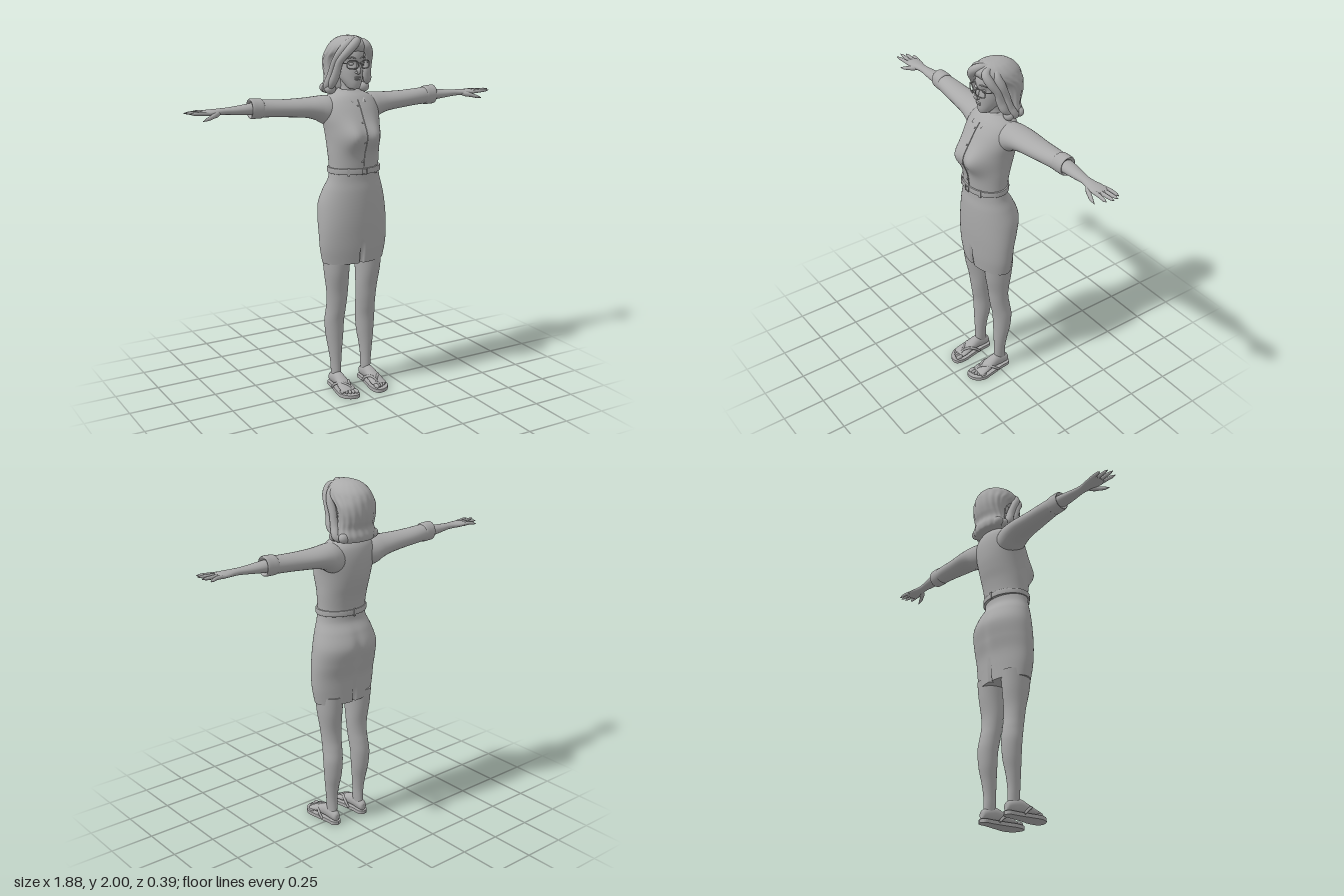
import * as THREE from 'three';

const V = (x, y, z) => new THREE.Vector3(x, y, z);
const TAU = Math.PI * 2;
const bump = (d, w) => Math.exp(-(d * d) / (w * w));

// Smooth interpolation through rows of numbers, u in 0..1
function sample(rows, u) {
  const f = u * (rows.length - 1), i = Math.min(Math.floor(f), rows.length - 2), t = f - i;
  const at = k => rows[Math.max(0, Math.min(rows.length - 1, k))];
  const [a, b, c, d] = [at(i - 1), at(i), at(i + 1), at(i + 2)];
  return b.map((_, k) => {
    const m0 = (c[k] - a[k]) / 2, m1 = (d[k] - b[k]) / 2, q = c[k] - b[k];
    return b[k] + t * (m0 + t * (3 * q - 2 * m0 - m1 + t * (m0 + m1 - 2 * q)));
  });
}

// Closed skin over rings; point(u, angle) gives each corner, both ends capped
function loft(n, segs, point) {
  const pos = [], idx = [];
  const ring = u => { for (let j = 0; j < segs; j++) pos.push(...point(u, j / segs * TAU).toArray()); };
  for (let i = 0; i <= n; i++) ring(i / n);
  for (let i = 0; i < n; i++) for (let j = 0; j < segs; j++) {
    const a = i * segs + j, b = i * segs + (j + 1) % segs;
    idx.push(a, b, a + segs, b, b + segs, a + segs);
  }
  for (const end of [0, 1]) {
    const s = pos.length / 3, c = V(0, 0, 0);
    ring(end);
    for (let j = 0; j < segs; j++) c.add(V().fromArray(pos, (s + j) * 3));
    pos.push(...c.divideScalar(segs).toArray());
    for (let j = 0; j < segs; j++) {
      const a = s + j, b = s + (j + 1) % segs;
      idx.push(...(end ? [a, b, s + segs] : [b, a, s + segs]));
    }
  }
  const g = new THREE.BufferGeometry();
  g.setAttribute('position', new THREE.Float32BufferAttribute(pos, 3));
  g.setIndex(idx);
  g.computeVertexNormals();
  return g;
}

// Upright body: rows of [y, xCentre, xRadius, zFront, zBack]
const body = (rows, warp, segs = 64, n = 60) => loft(n, segs, (u, a) => {
  const [y, xc, rx, zf, zb] = sample(rows, u);
  const p = V(xc + rx * Math.sin(a), y, (zf + zb) / 2 + (zf - zb) / 2 * Math.cos(a));
  if (warp) warp(p, a);
  return p;
});
// Limb along x: rows of [x, yCentre, zCentre, yRadius, zRadius]
const limb = rows => loft(36, 28, (u, a) => {
  const [x, y, z, ry, rz] = sample(rows, u);
  return V(x, y + ry * Math.cos(a), z + rz * Math.sin(a));
});
// Tapering rod along a curve; radii are spread evenly over its length
function rod(points, radii, n = 20, segs = 12) {
  const curve = new THREE.CatmullRomCurve3(points.map(p => V(...p)));
  const fr = curve.computeFrenetFrames(n), rr = radii.map(r => [r]);
  return loft(n, segs, (u, a) => {
    const k = Math.round(u * n), r = sample(rr, u)[0];
    return curve.getPointAt(u).addScaledVector(fr.normals[k], r * Math.cos(a))
      .addScaledVector(fr.binormals[k], r * Math.sin(a));
  });
}
const ball = (x, y, z, rx, ry, rz) => new THREE.SphereGeometry(1, 20, 14).scale(rx, ry, rz).translate(x, y, z);
function mirrored(g) {
  const m = g.clone().scale(-1, 1, 1), ix = m.index.array;
  for (let i = 0; i < ix.length; i += 3) [ix[i], ix[i + 1]] = [ix[i + 1], ix[i]];
  m.computeVertexNormals();
  return m;
}

export function createModel() {
  const grey = new THREE.MeshStandardMaterial({ color: 0xaaaaaa, side: THREE.DoubleSide });
  grey.name = 'plain grey';
  const model = new THREE.Group();
  model.name = 'woman';
  const add = (name, g) => {
    const m = new THREE.Mesh(g, grey);
    m.name = name;
    model.add(m);
  };
  const pair = (name, g) => { add(name + 'Left', g); add(name + 'Right', mirrored(g)); };

  // Pencil skirt with a slit at the hem and a soft seat
  add('skirt', body([[.76, 0, .185, .105, -.095], [.84, 0, .2, .115, -.1], [.92, 0, .205, .121, -.108],
    [1, 0, .205, .126, -.13], [1.09, 0, .197, .128, -.148], [1.17, 0, .175, .126, -.12],
    [1.23, 0, .153, .12, -.085], [1.285, 0, .143, .12, -.08]], (p, a) => {
    const slit = Math.max(0, .9 - p.y) / .14;
    if (Math.cos(a) > .999) p.z -= .035 * slit;
    if (Math.cos(a) < -.999) p.z += .02 * slit;
    p.z += .012 * bump(p.x, .03) * bump(p.y - 1.06, .1) * (p.z < 0 ? 1 : 0);
  }, 96));

  // Blouse with bust
  const bust = p => {
    if (p.z > 0) p.z += .05 * (bump(p.x - .065, .06) + bump(p.x + .065, .06)) * bump(p.y - 1.475, .07);
  };
  const torso = [[1.275, 0, .143, .122, -.088], [1.32, 0, .144, .126, -.094], [1.38, 0, .147, .13, -.108],
    [1.44, 0, .149, .133, -.128], [1.5, 0, .154, .129, -.143], [1.56, 0, .163, .115, -.15],
    [1.61, 0, .163, .092, -.15], [1.65, 0, .152, .065, -.143], [1.677, 0, .125, .042, -.13],
    [1.695, 0, .085, .02, -.115], [1.71, 0, .055, .0, -.095]];
  add('blouse', body(torso, bust));
  const front = [];
  for (let i = 0; i <= 16; i++) {
    const [y, , , zf] = sample(torso, .04 + .7 * i / 16), p = V(0, y, zf);
    bust(p);
    front.push([.004, p.y, p.z + .001]);
    if (i % 4 === 2) add('button', ball(-.008, p.y, p.z, .005, .005, .004));
  }
  add('placketEdge', rod(front, [.003, .003], 30, 6));

  // Belt with buckle and loops
  add('belt', body([[1.268, 0, .149, .13, -.092], [1.271, 0, .153, .134, -.097],
    [1.296, 0, .153, .134, -.097], [1.299, 0, .149, .13, -.092]], null, 64, 12));
  const buckle = new THREE.TorusGeometry(.016, .003, 8, 4).rotateZ(Math.PI / 4).scale(1.3, 1.2, 1).translate(0, 1.283, .137);
  add('buckle', buckle);
  pair('beltLoop', new THREE.BoxGeometry(.012, .042, .008).rotateY(.35).translate(.085, 1.283, .13 * .86));
  add('backBeltLoop', new THREE.BoxGeometry(.012, .042, .008).translate(0, 1.283, -.097));

  // Sleeves, rolled cuffs and forearms
  pair('sleeve', limb([[.08, 1.595, -.045, .08, .08], [.14, 1.602, -.055, .08, .087], [.19, 1.614, -.062, .065, .083],
    [.25, 1.621, -.067, .054, .077], [.35, 1.626, -.068, .048, .067], [.45, 1.632, -.07, .046, .058], [.54, 1.637, -.07, .047, .047]]));
  pair('cuff', limb([[.505, 1.637, -.07, .046, .046], [.512, 1.637, -.07, .052, .051], [.54, 1.638, -.07, .053, .05],
    [.568, 1.639, -.07, .053, .048], [.574, 1.639, -.07, .046, .042], [.562, 1.639, -.07, .032, .036]]));
  pair('forearm', limb([[.53, 1.637, -.07, .034, .04], [.59, 1.637, -.068, .029, .039], [.65, 1.637, -.065, .023, .033],
    [.71, 1.638, -.062, .018, .026], [.75, 1.638, -.06, .017, .03], [.79, 1.638, -.059, .016, .04],
    [.83, 1.638, -.06, .014, .043], [.855, 1.637, -.06, .008, .037], [.862, 1.637, -.06, .002, .02]]));
  // Fingers: root z, tip x, tip z, tip y
  for (const [z, tx, tz, ty] of [[-.094, .905, -.108, 1.632], [-.072, .933, -.078, 1.642],
    [-.049, .94, -.046, 1.648], [-.027, .925, -.012, 1.645]])
    pair('finger', rod([[.82, 1.638, z], [.86, 1.641, z * .8 + tz * .2], [tx, ty, tz]], [.01, .01, .01, .009, .008, .002], 14, 10));
  pair('thumb', rod([[.755, 1.635, -.045], [.795, 1.625, -.018], [.83, 1.615, -.003], [.862, 1.606, .004]], [.012, .015, .011, .009, .002], 14, 10));

  // Legs
  pair('leg', body([[.05, .099, .024, .018, -.055], [.1, .098, .027, .02, -.052], [.16, .099, .031, .02, -.052],
    [.23, .1, .039, .021, -.062], [.31, .1, .05, .022, -.079], [.4, .1, .056, .026, -.085], [.47, .096, .056, .038, -.076],
    [.53, .094, .058, .047, -.065], [.6, .095, .063, .056, -.063], [.7, .1, .07, .076, -.077], [.8, .1, .076, .088, -.088]], null, 32));

  // Feet, toes and thong sandals
  const foot = [[-.07, .1, .045, .012, .018], [-.06, .1, .047, .023, .028], [-.02, .1, .056, .029, .038], [.02, .1, .06, .032, .04],
    [.06, .1, .052, .036, .032], [.1, .1, .042, .042, .022], [.135, .1, .034, .044, .014], [.152, .1, .031, .036, .007]];
  pair('foot', loft(28, 24, (u, a) => {
    const [z, x, y, rx, ry] = sample(foot, u);
    return V(x + rx * Math.cos(a), Math.max(.02, y + ry * Math.sin(a)), z);
  }));
  for (let i = 0; i < 5; i++)
    pair('toe', ball(.068 + i * .0175, .031 - i * .001, .163 - i * i * .0022, i ? .0085 : .012, i ? .01 : .012, i ? .02 : .024));
  const sole = new THREE.Shape();
  sole.setFromPoints(new THREE.SplineCurve([[.1, .078], [.073, .062], [.069, .01], [.058, -.07], [.047, -.13], [.055, -.183],
    [.085, -.197], [.125, -.182], [.153, -.135], [.146, -.07], [.132, .01], [.127, .062], [.1, .078]]
    .map(p => new THREE.Vector2(...p))).getPoints(48));
  const soleGeo = new THREE.ExtrudeGeometry(sole, { depth: .016, bevelEnabled: true, bevelSize: .002, bevelThickness: .003, bevelSegments: 2 })
    .rotateX(-Math.PI / 2).translate(0, .003, 0);
  soleGeo.setIndex([...Array(soleGeo.attributes.position.count).keys()]);
  pair('sandalSole', soleGeo);
  for (const x of [.058, .143])
    pair('sandalStrap', rod([[.084, .022, .148], [.086, .05, .132], [(x + .09) / 2, .062, .09], [x, .045, .05], [x, .015, .02]], [.005, .006, .008, .008, .007], 20, 8));

  // Neck, face and ears
  add('neck', body([[1.63, 0, .06, .02, -.09], [1.68, 0, .052, .01, -.095], [1.72, 0, .045, .003, -.09],
    [1.76, 0, .046, .008, -.09], [1.8, 0, .05, .0, -.09]], null, 32, 20));
  add('head', body([[1.716, 0, .016, .042, .005], [1.722, 0, .03, .053, -.015], [1.745, 0, .045, .06, -.05], [1.775, 0, .06, .061, -.09],
    [1.81, 0, .069, .062, -.12], [1.85, 0, .074, .06, -.14], [1.89, 0, .077, .066, -.145], [1.93, 0, .072, .055, -.13],
    [1.965, 0, .05, .02, -.1]], p => {
    if (p.z > .02) p.z -= .008 * bump(Math.abs(p.x) - .033, .017) * bump(p.y - 1.857, .015);
  }, 48, 40));
  add('nose', rod([[0, 1.865, .055], [0, 1.835, .067], [0, 1.812, .076], [0, 1.802, .064]], [.006, .009, .0115, .006]));
  pair('nostril', ball(.009, 1.808, .064, .007, .006, .008));
  add('upperLip', ball(0, 1.781, .061, .021, .005, .007));
  add('lowerLip', ball(0, 1.772, .059, .018, .006, .008));
  pair('eye', ball(.033, 1.853, .048, .014, .009, .009));
  pair('eyebrow', rod([[.013, 1.882, .065], [.035, 1.889, .06], [.058, 1.88, .043]], [.002, .004, .001], 12, 8));
  pair('ear', ball(.078, 1.835, -.045, .01, .03, .018));

  // Glasses
  const rim = [];
  for (let i = 0; i < 24; i++) {
    const c = Math.cos(i / 24 * TAU), s = Math.sin(i / 24 * TAU), r = e => Math.sign(e) * Math.abs(e) ** .6;
    rim.push(V(.039 + .028 * r(c), 1.851 + .021 * r(s), .075 - .01 * r(c)));
  }
  pair('glassesRim', new THREE.TubeGeometry(new THREE.CatmullRomCurve3(rim, true), 48, .0032, 8, true));
  add('glassesBridge', rod([[-.012, 1.857, .084], [0, 1.861, .086], [.012, 1.857, .084]], [.003, .003], 8, 8));
  pair('glassesTemple', rod([[.066, 1.859, .065], [.079, 1.857, .03], [.084, 1.852, -.05]], [.003, .003], 12, 8));

  // Shirt collar, an open folded band with points at the front
  const collar = [[], []];
  for (let i = 0; i <= 40; i++) {
    const t = i / 20 - 1, f = Math.abs(t), a = t * Math.PI, d = Math.max(0, 1 - (1 - f) * 4);
    const y = 1.725 - .075 * f ** 4;
    collar[0].push(V(Math.sin(a) * .058, y, -.05 - Math.cos(a) * (t && f > .5 ? .07 + .025 * d : .054 + .016 * f * 2)));
    collar[1].push(V(Math.sin(a) * .08 + Math.sign(t) * .04 * d, 1.69 - .04 * d, -.05 - Math.cos(a) * (.075 + .05 * d)));
  }
  const strip = [], stripIdx = [];
  for (let i = 0; i <= 40; i++) {
    strip.push(...collar[0][i].toArray(), ...collar[1][i].toArray());
    if (i < 40) stripIdx.push(2 * i, 2 * i + 2, 2 * i + 1, 2 * i + 1, 2 * i + 2, 2 * i + 3);
  }
  const collarGeo = new THREE.BufferGeometry();
  collarGeo.setAttribute('position', new THREE.Float32BufferAttribute(strip, 3));
  collarGeo.setIndex(stripIdx);
  collarGeo.computeVertexNormals();
  add('collar', collarGeo);

  // Hair: wavy main mass, side-parted fringe and curled ends
  add('hair', body([[1.685, 0, .085, -.07, -.15], [1.692, 0, .108, -.05, -.17], [1.72, 0, .12, -.04, -.176], [1.76, 0, .112, -.04, -.168],
    [1.8, 0, .11, -.035, -.182], [1.84, 0, .113, -.03, -.19], [1.88, 0, .115, -.005, -.19], [1.915, 0, .111, .055, -.184],
    [1.95, 0, .098, .075, -.165], [1.98, 0, .07, .055, -.125], [1.995, 0, .035, .02, -.08], [1.998, 0, .006, -.02, -.04]], (p, a) => {
    const w = 1 + .014 * Math.sin(a * 17 + p.y * 22) * (1.99 - p.y > .06 ? 1 : .4);
    p.x *= w; p.z = (p.z + .06) * w - .06;
  }, 96));
  const locks = [
    [[.035, 1.985, .0], [-.015, 1.965, .062], [-.06, 1.92, .06], [-.09, 1.865, .025], [-.098, 1.8, 0], [-.108, 1.74, -.03], [-.11, 1.705, -.06]],
    [[.03, 1.982, -.02], [-.03, 1.968, .035], [-.08, 1.92, .025], [-.1, 1.86, -.01], [-.105, 1.79, -.04], [-.12, 1.72, -.07], [-.1, 1.7, -.1]],
    [[.035, 1.98, .0], [.052, 1.955, .05], [.08, 1.91, .04], [.096, 1.86, .01], [.098, 1.8, -.01], [.112, 1.75, -.03], [.122, 1.73, -.06]],
    [[.04, 1.975, -.03], [.075, 1.945, .0], [.098, 1.89, -.015], [.104, 1.83, -.04], [.108, 1.76, -.06], [.118, 1.71, -.09], [.09, 1.695, -.11]]];
  for (const l of locks) add('hairLock', rod(l, [.008, .021, .024, .021, .02, .023, .022, .006], 36, 14));
  for (const s of [-1, 1]) for (const z of [-.05, -.085, -.12])
    add('hairCurl', ball(s * (.108 + z * .08), 1.714, z - .005, .032, .028, .026));

  return model;
}
